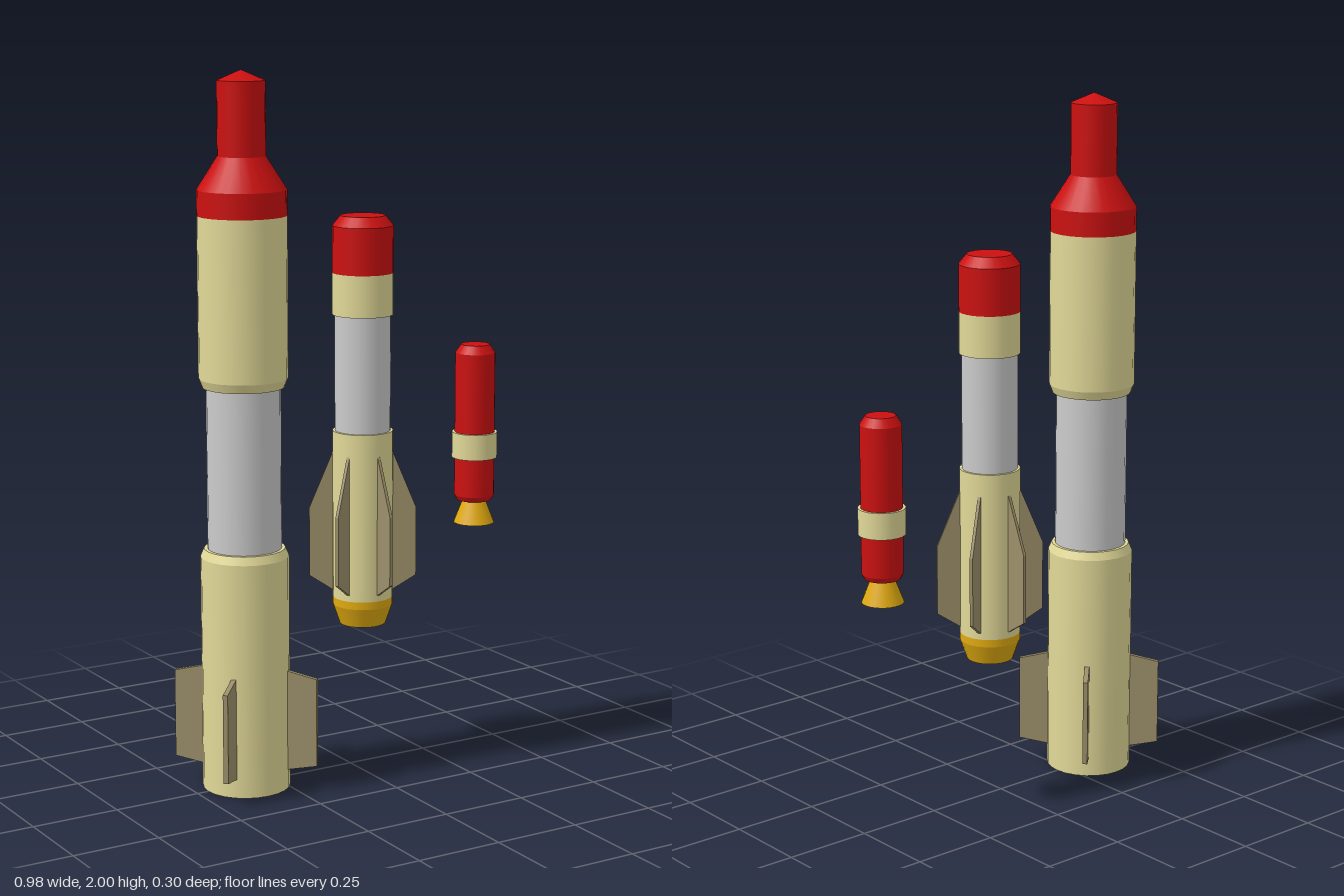
import * as THREE from 'three';
import { mergeGeometries } from 'three/addons/utils/BufferGeometryUtils.js';

const paint = (color) => new THREE.MeshStandardMaterial({ color });
const cream = paint(0xe2d998), red = paint(0xcc1010), grey = paint(0xcccccc);
const yellow = paint(0xe0aa10), finTan = paint(0x9c8f6a);

// Turned part from [radius, y] points, bottom to top, with a hard edge at every point
function turned(name, material, profile) {
  const bands = [];
  for (let i = 0; i < profile.length - 1; i++) {
    const pair = [profile[i], profile[i + 1]].map(([r, y]) => new THREE.Vector2(r, y));
    bands.push(new THREE.LatheGeometry(pair, 24));
  }
  const mesh = new THREE.Mesh(mergeGeometries(bands), material);
  mesh.name = name;
  return mesh;
}

// Ring of flat fins; outline is [radius, y] corners
function finRing(count, startAngle, thickness, outline) {
  const shape = new THREE.Shape(outline.map(([r, y]) => new THREE.Vector2(r, y)));
  const geometry = new THREE.ExtrudeGeometry(shape, { depth: thickness, bevelEnabled: false });
  geometry.translate(0, 0, -thickness / 2);
  const ring = new THREE.Group();
  ring.name = 'fins';
  for (let i = 0; i < count; i++) {
    const fin = new THREE.Mesh(geometry, finTan);
    fin.name = 'fin';
    fin.rotation.y = startAngle + (i * Math.PI * 2) / count;
    ring.add(fin);
  }
  return ring;
}

function rocket(name, x, parts) {
  const group = new THREE.Group();
  group.name = name;
  group.position.x = x;
  group.add(...parts);
  return group;
}

export function createModel() {
  const model = new THREE.Group();
  model.name = 'rocketSet';

  // Tall rocket with a stepped nose and four diagonal fins
  model.add(rocket('largeRocket', -0.343, [
    turned('lowerBody', cream, [[0, 0], [0.123, 0], [0.123, 0.665], [0.113, 0.688], [0, 0.688]]),
    turned('middleBody', grey, [[0.103, 0.68], [0.103, 1.15]]),
    turned('upperBody', cream, [[0, 1.14], [0.113, 1.14], [0.123, 1.165], [0.123, 1.61]]),
    turned('nose', red, [[0.123, 1.61], [0.123, 1.68], [0.066, 1.77], [0.066, 1.972], [0, 2]]),
    finRing(4, Math.PI / 4, 0.014, [[0.1, 0.06], [0.115, 0.053], [0.206, 0.07], [0.206, 0.322], [0.115, 0.343], [0.1, 0.343]]),
  ]));

  // Medium rocket with six swept fins
  model.add(rocket('mediumRocket', 0.041, [
    turned('nozzle', yellow, [[0, 0.418], [0.066, 0.418], [0.086, 0.475], [0.086, 0.497]]),
    turned('lowerBody', cream, [[0.086, 0.497], [0.086, 0.98], [0, 0.98]]),
    turned('middleBody', grey, [[0.079, 0.975], [0.079, 1.315]]),
    turned('collar', cream, [[0, 1.31], [0.086, 1.31], [0.086, 1.428]]),
    turned('nose', red, [[0.086, 1.428], [0.086, 1.56], [0.063, 1.588], [0, 1.588]]),
    finRing(6, Math.PI / 6, 0.009, [[0.07, 0.515], [0.086, 0.515], [0.152, 0.557], [0.152, 0.755], [0.086, 0.915], [0.07, 0.915]]),
  ]));

  // Small rocket with a belt and a flared nozzle
  model.add(rocket('smallRocket', 0.424, [
    turned('nozzle', yellow, [[0, 0.665], [0.059, 0.665], [0.032, 0.735]]),
    turned('body', red, [[0, 0.733], [0.05, 0.733], [0.058, 0.748], [0.058, 1.168], [0.042, 1.192], [0, 1.192]]),
    turned('belt', cream, [[0.057, 0.86], [0.066, 0.86], [0.066, 0.935], [0.057, 0.935]]),
  ]));

  return model;
}
